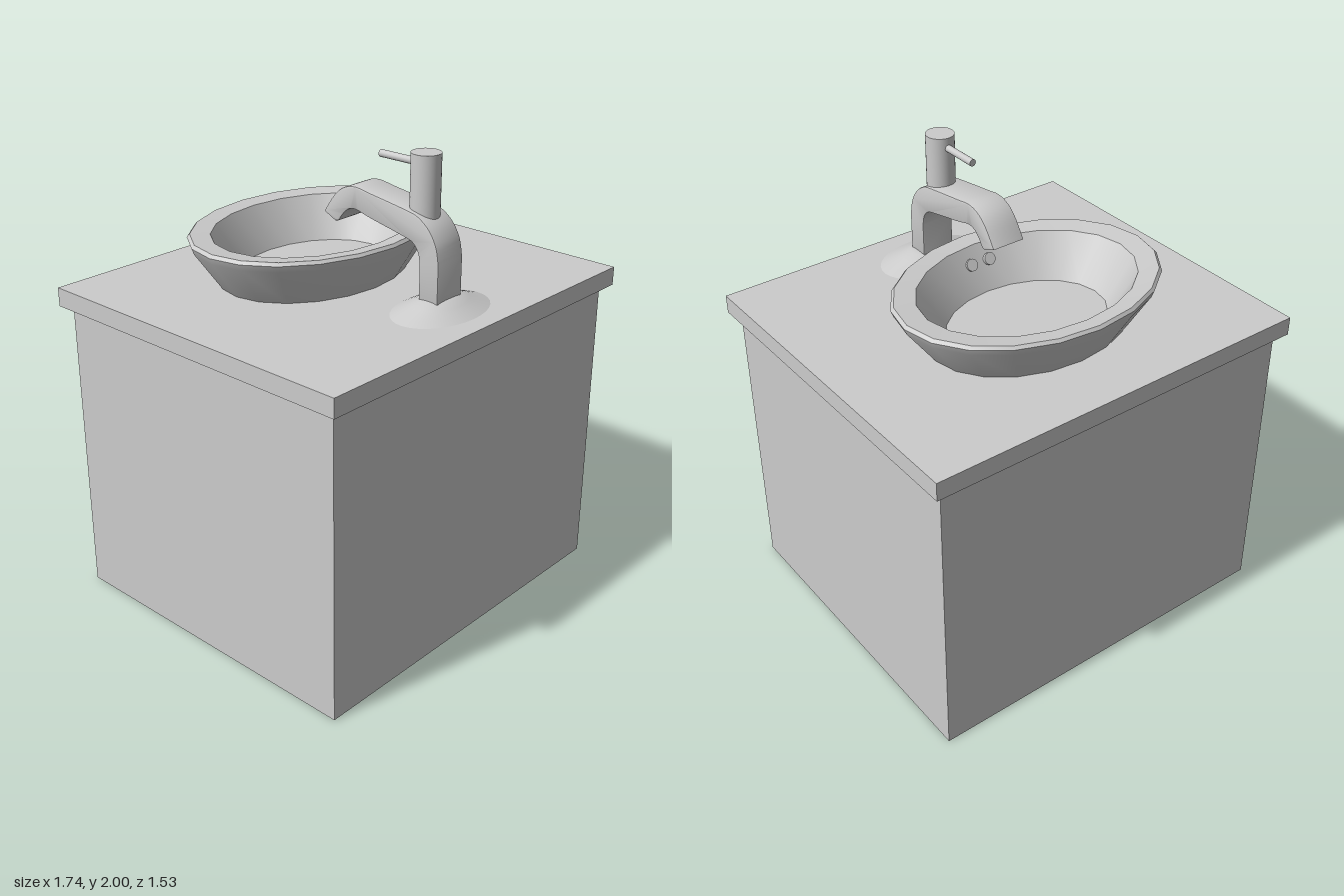
import * as THREE from 'three';
import { toCreasedNormals } from 'three/addons/utils/BufferGeometryUtils.js';

const grey = new THREE.MeshStandardMaterial({ color: 0xcccccc });
const v2 = (list) => list.map(([a, b]) => new THREE.Vector2(a, b));

function add(group, name, geometry, x = 0, y = 0, z = 0) {
  const mesh = new THREE.Mesh(geometry, grey);
  mesh.name = name;
  mesh.position.set(x, y, z);
  group.add(mesh);
  return mesh;
}

// Oval turned form: the profile is spun, then squeezed along z
function ovalLathe(profile, segments, zScale, crease) {
  const g = new THREE.LatheGeometry(v2(profile), segments);
  g.scale(1, 1, zScale);
  return toCreasedNormals(g, crease);
}

// Side outline of the spout (z, y), drawn as lines and smooth runs
function spoutGeometry() {
  const flip = (list) => v2(list.map(([z, y]) => [-z, y]));
  const s = new THREE.Shape();
  s.moveTo(-0.567, 1.43);
  s.lineTo(-0.567, 1.6);
  s.splineThru(flip([[0.552, 1.67], [0.515, 1.73], [0.46, 1.77], [0.4, 1.785],
    [0.22, 1.812], [0.14, 1.823], [0.08, 1.808], [0.03, 1.768], [-0.025, 1.69]]));
  s.lineTo(-0.035, 1.661);
  s.splineThru(flip([[0.055, 1.668], [0.08, 1.7], [0.11, 1.725], [0.15, 1.729],
    [0.22, 1.711], [0.4, 1.673], [0.44, 1.658], [0.465, 1.625], [0.474, 1.58]]));
  s.lineTo(-0.474, 1.43);
  s.closePath();
  const width = 0.15, bevel = 0.006;
  const g = new THREE.ExtrudeGeometry(s, {
    depth: width - 2 * bevel, curveSegments: 5,
    bevelThickness: bevel, bevelSize: bevel, bevelOffset: -bevel, bevelSegments: 2,
  });
  g.translate(0, 0, -width / 2 + bevel);
  g.rotateY(Math.PI / 2);
  return toCreasedNormals(g, 0.6);
}

export function createModel() {
  const model = new THREE.Group();
  model.name = 'washstand';

  // Cabinet and worktop
  add(model, 'cabinet', new THREE.BoxGeometry(1.66, 1.31, 1.45), 0, 0.655, 0);
  add(model, 'worktop', new THREE.BoxGeometry(1.74, 0.08, 1.53), 0, 1.35, 0);

  // Oval basin with a flared wall, flat rim and sunken floor
  add(model, 'basin', ovalLathe([
    [0, 0], [0.45, 0], [0.574, 0.17], [0.585, 0.197], [0.572, 0.21],
    [0.48, 0.2], [0.355, 0.02], [0, 0.02],
  ], 20, 0.755, 0.6), 0, 1.39, -0.155);

  // Pair of overflow studs on the inner wall below the spout
  for (const side of [-1, 1]) {
    const stud = add(model, 'overflowStud',
      new THREE.CylinderGeometry(0.026, 0.026, 0.02, 16), side * 0.045, 1.525, 0.165);
    stud.rotation.x = -1.08;
  }

  // Tap: base flange, spout, valve body and lever
  const tap = new THREE.Group();
  tap.name = 'tap';
  model.add(tap);
  add(tap, 'flange', ovalLathe([
    [0.24, 0], [0.2, 0.014], [0.14, 0.035], [0.095, 0.052], [0.075, 0.055], [0, 0.055],
  ], 32, 0.68, 0.7), 0.004, 1.39, 0.52);
  add(tap, 'spout', spoutGeometry(), -0.003, 0, 0);
  add(tap, 'valveBody', new THREE.CylinderGeometry(0.06, 0.06, 0.26, 32), 0, 1.87, 0.433);
  const lever = add(tap, 'lever', new THREE.CylinderGeometry(0.015, 0.015, 0.2, 16), 0, 1.955, 0.307);
  lever.rotation.x = Math.PI / 2;

  return model;
}
